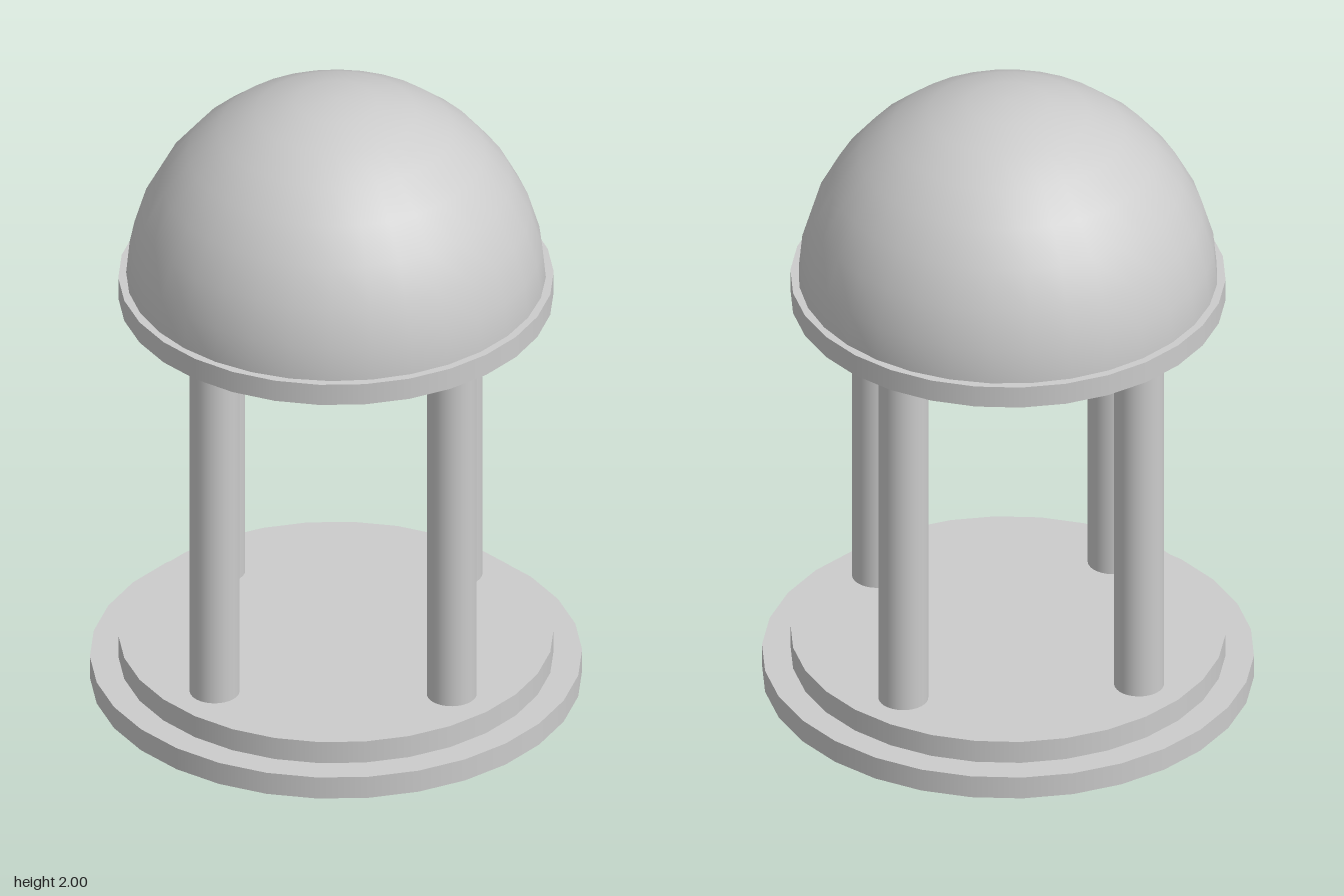
import * as THREE from 'three';

export function createModel() {
  const group = new THREE.Group();
  const material = new THREE.MeshStandardMaterial({ color: 0xcccccc, side: THREE.DoubleSide });

  const add = (name, geometry, x = 0, y = 0, z = 0) => {
    const mesh = new THREE.Mesh(geometry, material);
    mesh.name = name;
    mesh.position.set(x, y, z);
    group.add(mesh);
    return mesh;
  };

  // Disc between two heights, with a corner on the x axis
  const disc = (name, radius, bottom, top, open = false) => {
    const geometry = new THREE.CylinderGeometry(radius, radius, top - bottom, 30, 1, open);
    geometry.rotateY(Math.PI / 2);
    add(name, geometry, 0, (bottom + top) / 2);
  };

  // Lower step: hollow underneath, closed on top
  disc('lowerStepWall', 0.737, 0, 0.073, true);
  const lid = new THREE.CircleGeometry(0.737, 30).rotateX(-Math.PI / 2);
  add('lowerStepTop', lid, 0, 0.073);

  // Upper step and the ring plate carrying the dome
  disc('upperStep', 0.652, 0.073, 0.146);
  disc('domePlate', 0.652, 1.317, 1.387);

  // Four columns, running down through the steps
  const column = new THREE.CylinderGeometry(0.075, 0.075, 1.325, 30);
  for (let i = 0; i < 4; i++) {
    const a = (i * Math.PI) / 2;
    add('column' + (i + 1), column, 0.502 * Math.cos(a), 0.6625, 0.502 * Math.sin(a));
  }

  // Hemispherical dome
  const dome = new THREE.SphereGeometry(0.63, 32, 8, 0, Math.PI * 2, 0, Math.PI / 2);
  add('dome', dome, 0, 1.37);

  return group;
}
